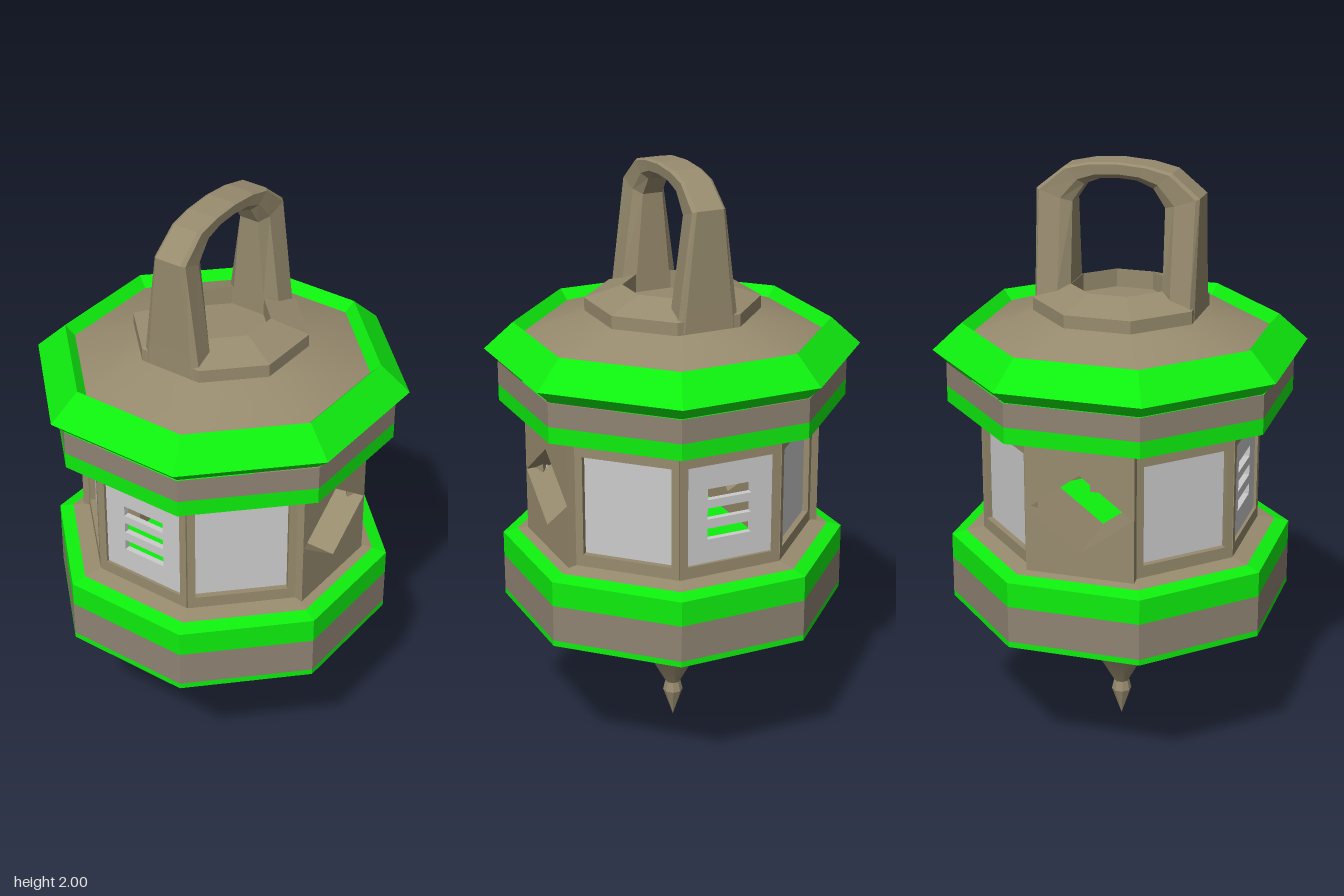
import * as THREE from 'three';

const mat = (color, flatShading = true) =>
  new THREE.MeshStandardMaterial({ color, flatShading, side: THREE.DoubleSide });
const TAN = mat(0x978b6e), TAN_SMOOTH = mat(0x978b6e, false), BAND = mat(0x8f8373);
const GREEN = mat(0x0eee0e), GREY = mat(0xcccccc);
const TO_CORNER = 1 / Math.cos(Math.PI / 8);

function add(parent, name, geometry, material) {
  const mesh = new THREE.Mesh(geometry, material);
  mesh.name = name;
  parent.add(mesh);
  return mesh;
}

// Eight-sided turned part; each profile point is [distance to flat side, height]
function octagon(parent, name, profile, material) {
  const pts = profile.map(([a, y]) => new THREE.Vector2(a * TO_CORNER, y));
  return add(parent, name, new THREE.LatheGeometry(pts, 8, Math.PI / 8), material);
}

const rect = (hw, y0, y1, Type = THREE.Shape) => new Type(
  [[-hw, y0], [hw, y0], [hw, y1], [-hw, y1]].map(([x, y]) => new THREE.Vector2(x, y)));

// Plate with holes whose outer face lies at z = front
function plate(parent, name, shape, holes, front, depth, material) {
  shape.holes.push(...holes);
  const geo = new THREE.ExtrudeGeometry(shape, { depth, bevelEnabled: false });
  geo.translate(0, 0, front - depth);
  return add(parent, name, geo, material);
}

// One of the eight walls of the middle section
function wall(i) {
  const g = new THREE.Group();
  g.rotation.y = i * Math.PI / 4;
  if (i % 4 === 0) {
    // Deep plate with a diamond opening
    g.name = i ? 'backWall' : 'frontWall';
    const diamond = new THREE.Path([[-0.178, 0.955], [0, 0.82], [0.178, 0.955], [0, 1.09]]
      .map(([x, y]) => new THREE.Vector2(x, y)));
    plate(g, 'diamondPlate', rect(0.182, 0.735, 1.18), [diamond], 0.46, 0.25, TAN);
  } else {
    const slotted = i % 2 === 0;
    g.name = slotted ? 'sideWall' : 'cornerWall';
    plate(g, 'wallFrame', rect(0.178, 0.735, 1.18), [rect(0.152, 0.785, 1.125, THREE.Path)],
      0.435, 0.035, TAN);
    const slots = slotted
      ? [0.865, 0.935, 1.002].map((y) => rect(0.078, y, y + 0.038, THREE.Path)) : [];
    plate(g, 'wallPanel', rect(0.155, 0.78, 1.13), slots, slotted ? 0.425 : 0.415, 0.02, GREY);
  }
  return g;
}

// Arched handle, swept through [outer x, outer y, inner x, inner y, half depth]
function handleGeometry() {
  const half = [
    [0.27, 1.51, 0.155, 1.51, 0.108], [0.27, 1.59, 0.155, 1.59, 0.098],
    [0.272, 1.9, 0.155, 1.86, 0.058], [0.18, 1.975, 0.115, 1.92, 0.055],
    [0.1, 1.993, 0.06, 1.942, 0.055],
  ];
  const path = [...half, [0, 2, 0, 1.946, 0.055],
    ...half.map(([a, b, c, d, w]) => [-a, b, -c, d, w]).reverse()];
  const section = [[0, 0.8], [0.1, 1], [0.7, 0.95], [1, 0.6]];
  const ring = [...section, ...section.map(([t, w]) => [t, -w]).reverse()];
  const n = ring.length, pos = [], idx = [];
  path.forEach(([ox, oy, ix, iy, w]) => ring.forEach(([t, s]) =>
    pos.push(ox + (ix - ox) * t, oy + (iy - oy) * t, w * s)));
  for (let i = 0; i < path.length - 1; i++) {
    for (let j = 0; j < n; j++) {
      const a = i * n + j, b = i * n + (j + 1) % n;
      idx.push(a, a + n, b, b, a + n, b + n);
    }
  }
  const geo = new THREE.BufferGeometry();
  geo.setAttribute('position', new THREE.Float32BufferAttribute(pos, 3));
  geo.setIndex(idx);
  geo.computeVertexNormals();
  return geo;
}

export function createModel() {
  const model = new THREE.Group();
  model.name = 'lantern';

  // Pointed underside and its tip
  octagon(model, 'tip', [[0, 0], [0.032, 0.1], [0.022, 0.145]], TAN);
  octagon(model, 'underside', [[0.022, 0.13], [0.07, 0.22], [0.15, 0.335], [0.25, 0.41],
    [0.47, 0.487]], TAN_SMOOTH);

  // Lower drum
  octagon(model, 'lowerBottomRim', [[0.47, 0.487], [0.49, 0.468], [0.535, 0.49],
    [0.535, 0.51]], GREEN);
  octagon(model, 'lowerBand', [[0.535, 0.51], [0.535, 0.635]], BAND);
  octagon(model, 'lowerTopRim', [[0.535, 0.635], [0.535, 0.72], [0.49, 0.733]], GREEN);
  octagon(model, 'lowerLedge', [[0.49, 0.733], [0.42, 0.747]], TAN);

  // Hollow middle section with green floor and ceiling
  octagon(model, 'innerFloor', [[0.42, 0.745], [0, 0.745]], GREEN);
  octagon(model, 'innerCeiling', [[0, 1.175], [0.42, 1.175]], GREEN);
  for (let i = 0; i < 8; i++) model.add(wall(i));

  // Upper drum
  octagon(model, 'upperBottomRim', [[0.42, 1.165], [0.45, 1.165], [0.535, 1.2],
    [0.535, 1.255]], GREEN);
  octagon(model, 'upperBand', [[0.535, 1.255], [0.535, 1.335]], BAND);
  octagon(model, 'crownRing', [[0.53, 1.335], [0.575, 1.38], [0.485, 1.47],
    [0.455, 1.435]], GREEN);

  // Roof, collar with a sunken centre, and handle
  octagon(model, 'roof', [[0.455, 1.435], [0.26, 1.51]], TAN_SMOOTH);
  octagon(model, 'collar', [[0.268, 1.505], [0.268, 1.55], [0.152, 1.592], [0.152, 1.53],
    [0, 1.53]], TAN);
  add(model, 'handle', handleGeometry(), TAN);

  return model;
}
